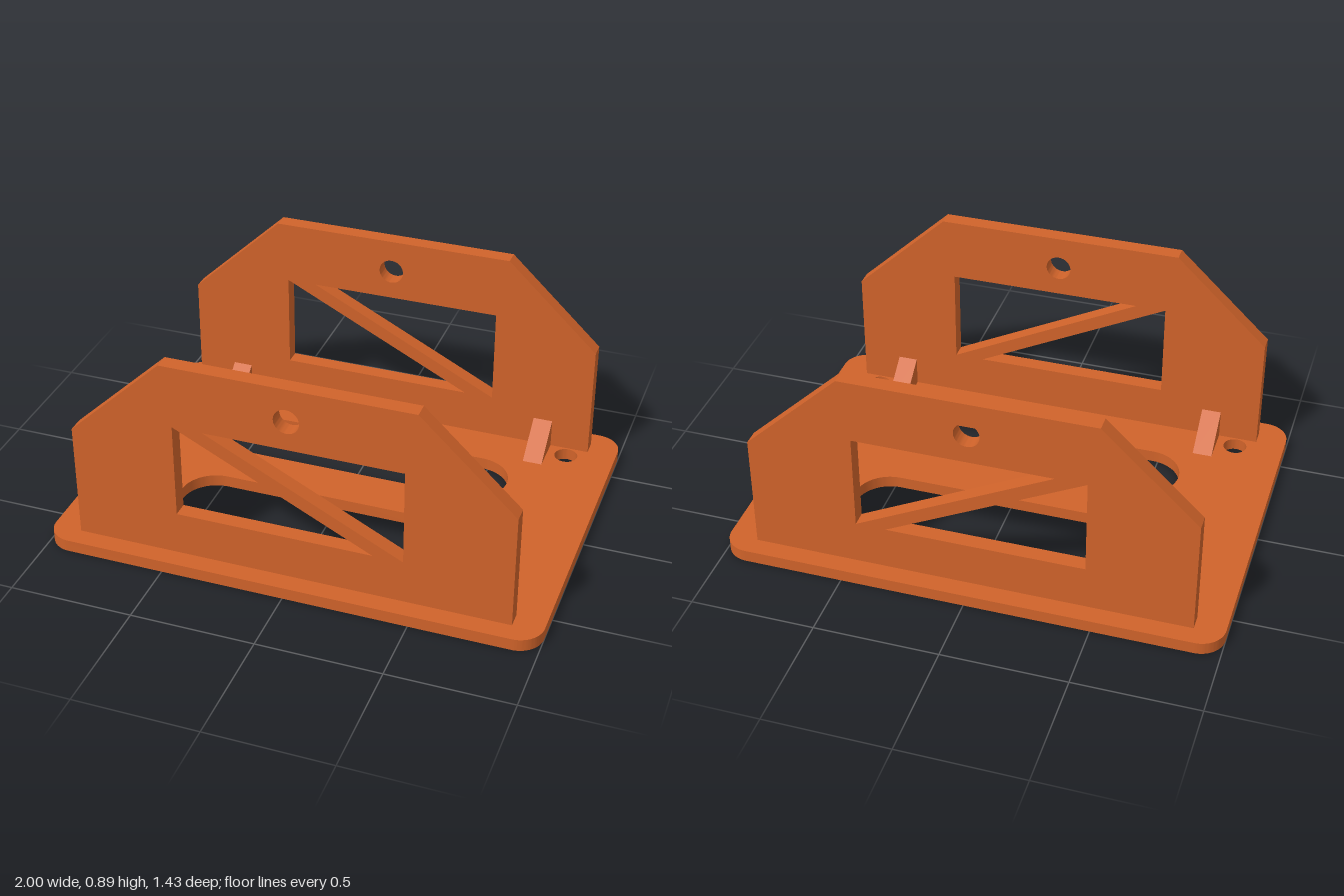
import * as THREE from 'three';
import { toCreasedNormals } from 'three/addons/utils/BufferGeometryUtils.js';

const material = new THREE.MeshStandardMaterial({ color: 0xd0632a });
const BASE_H = 0.05;

const polygon = (points) => new THREE.Shape(points.map(([x, y]) => new THREE.Vector2(x, y)));

function circleHole(x, y, r) {
  return new THREE.Path().absarc(x, y, r, 0, Math.PI * 2, true);
}

// Long hole with round ends
function slotHole(y, halfLength, r) {
  const c = halfLength - r;
  const path = new THREE.Path();
  path.absarc(c, y, r, -Math.PI / 2, Math.PI / 2, false);
  path.absarc(-c, y, r, Math.PI / 2, Math.PI * 1.5, false);
  path.closePath();
  return path;
}

function roundedRect(hx, hy, r) {
  const s = new THREE.Shape();
  s.absarc(hx - r, hy - r, r, 0, Math.PI / 2, false);
  s.absarc(-hx + r, hy - r, r, Math.PI / 2, Math.PI, false);
  s.absarc(-hx + r, -hy + r, r, Math.PI, Math.PI * 1.5, false);
  s.absarc(hx - r, -hy + r, r, Math.PI * 1.5, Math.PI * 2, false);
  s.closePath();
  return s;
}

// Slab of the given thickness, sharp at edges and smooth round curves
function slab(shape, depth) {
  const geometry = new THREE.ExtrudeGeometry(shape, { depth, bevelEnabled: false, curveSegments: 24 });
  return toCreasedNormals(geometry, 0.6);
}

export function createModel() {
  const group = new THREE.Group();
  const add = (geometry, name) => {
    const mesh = new THREE.Mesh(geometry, material);
    mesh.name = name;
    group.add(mesh);
    return mesh;
  };

  // Base plate with two slots and four screw holes
  const base = roundedRect(1, 0.717, 0.1);
  for (const s of [-1, 1]) {
    base.holes.push(slotHole(s * 0.24, 0.62, 0.142));
    for (const x of [-0.8, 0.8]) base.holes.push(circleHole(x, s * 0.52, 0.048));
  }
  add(slab(base, BASE_H).rotateX(-Math.PI / 2), 'basePlate');

  // Upright wall: chamfered top, pivot hole, window crossed by a diagonal brace
  const wall = polygon([
    [-0.88, BASE_H], [0.88, BASE_H], [0.88, 0.53], [0.5, 0.89], [-0.5, 0.89], [-0.88, 0.53],
  ]);
  wall.holes.push(
    circleHole(0, 0.752, 0.051),
    polygon([[-0.458, 0.63], [-0.458, 0.232], [0.335, 0.232]]),
    polygon([[-0.335, 0.63], [0.455, 0.63], [0.455, 0.232]]),
  );
  const wallGeometry = slab(wall, 0.064);
  add(wallGeometry, 'frontWall').position.z = 0.575;
  add(wallGeometry, 'backWall').position.z = -0.639;

  // Triangular gussets on the inner side of each wall
  const gusset = polygon([[0.42, BASE_H], [0.575, BASE_H], [0.575, 0.17]]);
  const gussetGeometry = slab(gusset, 0.08).translate(0, 0, -0.04);
  for (const [side, turn] of [['front', -1], ['back', 1]]) {
    for (const [hand, x] of [['Left', 0.68], ['Right', -0.68]]) {
      const mesh = add(gussetGeometry, `${side}${hand}Gusset`);
      mesh.rotation.y = turn * Math.PI / 2;
      mesh.position.x = x;
    }
  }

  return group;
}
